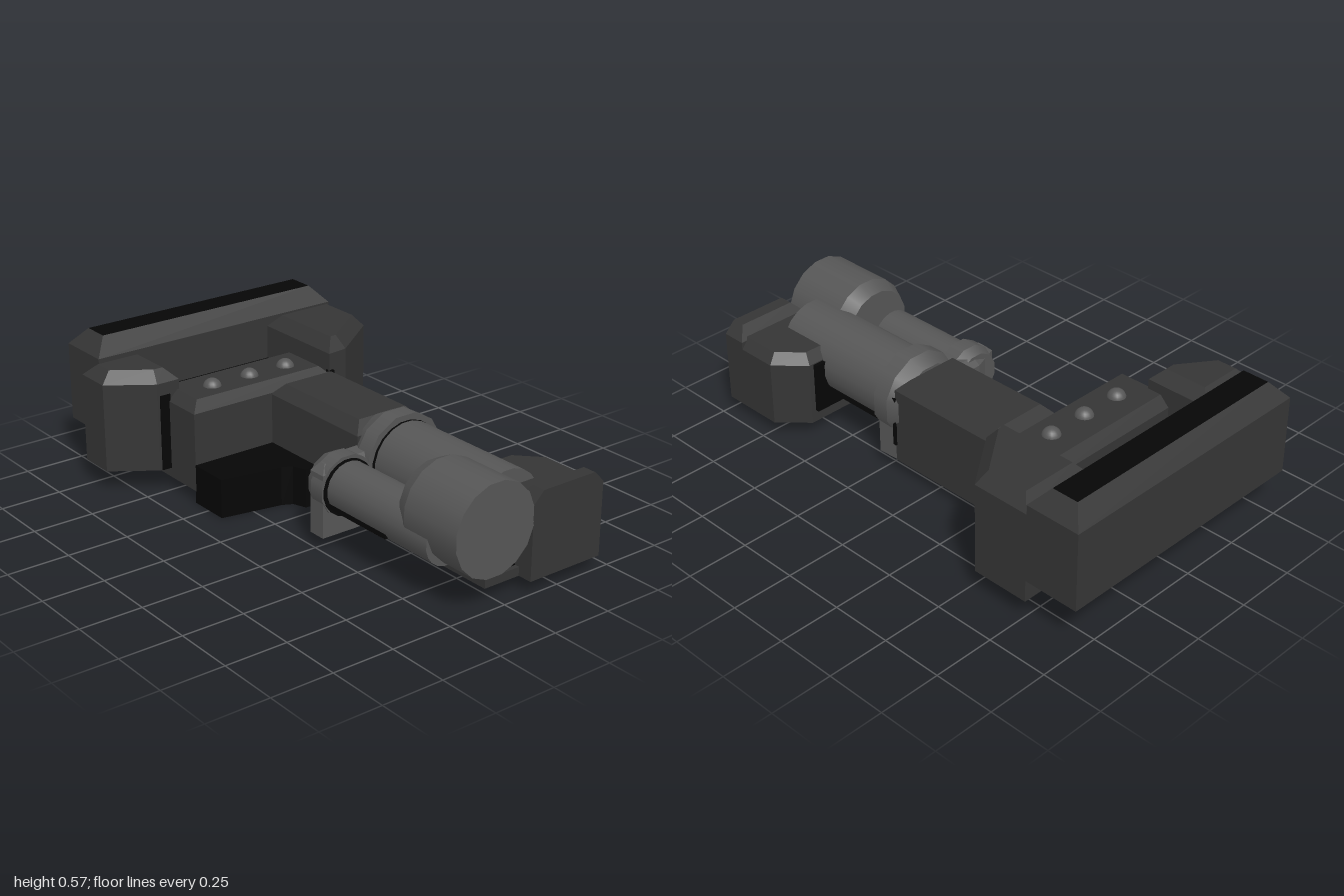
import * as THREE from 'three';

const named = (name, color) => {
  const m = new THREE.MeshStandardMaterial({ color });
  m.name = name;
  return m;
};

// Upright prism from a plan outline of [x, z] corners. Levels are [height, inset] rings.
function prism(plan, levels) {
  let base = plan.map(([x, z]) => new THREE.Vector2(x, -z));
  if (THREE.ShapeUtils.area(base) < 0) base = base.reverse();
  const n = base.length;
  const edgeNormal = (i) => {
    const a = base[i % n], b = base[(i + 1) % n];
    return new THREE.Vector2(a.y - b.y, b.x - a.x).normalize();
  };
  const rings = levels.map(([y, inset]) => base.map((p, i) => {
    const n1 = edgeNormal(i + n - 1), n2 = edgeNormal(i);
    const k = inset / (1 + n1.dot(n2));
    return [p.x + (n1.x + n2.x) * k, y, -(p.y + (n1.y + n2.y) * k)];
  }));
  const pos = [];
  const tri = (a, b, c) => pos.push(...a, ...b, ...c);
  for (let r = 0; r < rings.length - 1; r++) {
    for (let i = 0; i < n; i++) {
      const j = (i + 1) % n, lo = rings[r], hi = rings[r + 1];
      tri(lo[i], lo[j], hi[j]);
      tri(lo[i], hi[j], hi[i]);
    }
  }
  const faces = THREE.ShapeUtils.triangulateShape(base, []);
  const bottom = rings[0], top = rings[rings.length - 1];
  for (const [a, b, c] of faces) tri(bottom[a], bottom[c], bottom[b]);
  const sideCount = pos.length / 3;
  for (const [a, b, c] of faces) tri(top[a], top[b], top[c]);
  const g = new THREE.BufferGeometry();
  g.setAttribute('position', new THREE.Float32BufferAttribute(pos, 3));
  g.addGroup(0, sideCount, 0);
  g.addGroup(sideCount, pos.length / 3 - sideCount, 1);
  g.computeVertexNormals();
  return g;
}

const rect = (x0, x1, z0, z1) => [[x0, z0], [x1, z0], [x1, z1], [x0, z1]];

export function createModel() {
  const model = new THREE.Group();
  model.name = 'model';
  const dark = named('dark grey', 0x353535);
  const light = named('mid grey', 0x565656);
  const black = named('black', 0x060606);

  const add = (name, geometry, side, top = side) => {
    const mesh = new THREE.Mesh(geometry, side === top ? side : [side, top]);
    mesh.name = name;
    model.add(mesh);
    return mesh;
  };
  const block = (name, plan, y0, y1, bevel, rise, side, top) =>
    add(name, prism(plan, bevel ? [[y0, 0], [y1 - rise, 0], [y1, bevel]] : [[y0, 0], [y1, 0]]), side, top);

  // Wide rear slab with a black top panel
  block('rearSlab', rect(-0.53, 0.6, -1, -0.77), 0.18, 0.567, 0.06, 0.068, dark, black);

  // Angled side wings
  block('rightWing', [[-0.6, -0.78], [-0.6, -0.63], [-0.43, -0.51], [-0.33, -0.51], [-0.33, -0.78]],
    0.09, 0.495, 0.045, 0.045, dark);
  block('leftWing', [[0.28, -0.77], [0.6, -0.77], [0.6, -0.53], [0.37, -0.36], [0.28, -0.35]],
    0.09, 0.51, 0.045, 0.05, dark);

  // Black seams around the wings
  block('rightWingSeam', rect(-0.42, -0.375, -0.53, -0.505), 0.09, 0.4, 0, 0, black);
  block('leftWingSeam', rect(0.28, 0.3, -0.37, -0.342), 0.09, 0.39, 0, 0, black);
  block('wingRearSeam', rect(-0.575, -0.52, -0.785, -0.775), 0.12, 0.42, 0, 0, black);

  // Recessed core between the wings
  block('core', rect(-0.37, 0.34, -0.78, -0.5), 0.05, 0.32, 0, 0, black);

  // Centre housing and its domed buttons
  block('centreHousing', rect(-0.38, 0.285, -0.61, -0.335), 0.05, 0.41, 0.04, 0.04, dark);
  for (const x of [-0.21, -0.033, 0.142]) {
    const dome = add('button', new THREE.SphereGeometry(0.037, 16, 8, 0, Math.PI * 2, 0, Math.PI / 2), light);
    dome.position.set(x, 0.403, -0.46);
  }

  // Low black bracket beside the body
  block('bracket', [[-0.38, -0.34], [-0.38, -0.165], [-0.13, -0.12], [-0.09, -0.1], [-0.07, -0.045],
    [0, -0.04], [0, -0.34]], 0, 0.16, 0, 0, black);

  // Long body
  block('body', rect(-0.015, 0.29, -0.34, 0.2), 0.05, 0.41, 0.042, 0.045, dark);

  // Tubes lying along z, from z0 (back) to z1 (front)
  const tube = (name, x, y, r, z0, z1, chamfer = 0, sides = 20, material = light) => {
    const points = [[0, z0], [r - chamfer, z0]];
    if (chamfer) points.push([r, z0 + chamfer * 2]);
    points.push([r, z1], [0, z1]);
    // Separate segments keep the end faces crisp
    for (let i = 0; i < points.length - 1; i++) {
      const g = new THREE.LatheGeometry(
        [points[i], points[i + 1]].map((p) => new THREE.Vector2(...p)), sides, Math.PI / sides);
      g.rotateX(Math.PI / 2);
      g.translate(x, y, 0);
      add(name, g, material);
    }
  };
  tube('mainTube', 0.137, 0.27, 0.152, 0.2, 0.85);
  tube('sideTube', -0.135, 0.235, 0.1, 0.2, 0.85);
  tube('frontDrum', -0.055, 0.303, 0.181, 0.67, 1, 0.03, 16);

  // Clamp holding both tubes, with black inner collars
  tube('mainClampRing', 0.137, 0.27, 0.18, 0.165, 0.295, 0.03, 12);
  tube('sideClampRing', -0.135, 0.235, 0.122, 0.19, 0.295, 0.02, 12);
  tube('mainCollar', 0.137, 0.265, 0.158, 0.28, 0.303, 0, 20, black);
  tube('sideCollar', -0.135, 0.23, 0.112, 0.28, 0.303, 0, 20, black);
  block('clampBody', [[-0.245, 0.29], [-0.245, 0.215], [-0.13, 0.17], [0.285, 0.16], [0.292, 0.29]],
    0.05, 0.33, 0.03, 0.03, light);
  block('clampSeam', rect(0.28, 0.296, 0.195, 0.21), 0.12, 0.33, 0, 0, black);

  // Front grip with a raised ridge and a low inner foot
  block('grip', [[0.12, 1], [0.455, 1], [0.455, 0.73], [0.35, 0.62], [0.12, 0.62]],
    0.05, 0.355, 0.035, 0.04, dark);
  block('gripRidge', rect(0.12, 0.455, 0.9, 1), 0.3, 0.39, 0.045, 0.045, dark);
  const ridgeFace = new THREE.Shape([[0.12, 0.3], [0.455, 0.3], [0.455, 0.345], [0.41, 0.39],
    [0.165, 0.39], [0.12, 0.345]].map((p) => new THREE.Vector2(...p)));
  add('gripRidgeFront', new THREE.ExtrudeGeometry(ridgeFace, { depth: 0.055, bevelEnabled: false }), dark)
    .position.z = 0.945;
  block('gripFoot', [[-0.04, 0.94], [0.13, 0.94], [0.13, 0.64], [0.02, 0.64], [-0.04, 0.7]],
    0.05, 0.085, 0, 0, dark);
  block('gripCore', rect(0, 0.2, 0.66, 0.92), 0.08, 0.22, 0, 0, black);
  block('gripSeam', rect(0.14, 0.33, 0.605, 0.622), 0.1, 0.31, 0, 0, black);

  // Dark rails under and beside the tubes
  block('lowerRail', rect(-0.06, 0.1, 0.28, 0.68), 0.12, 0.22, 0, 0, black);
  block('sideRail', rect(-0.225, 0.27, 0.28, 0.62), 0.17, 0.19, 0, 0, black);

  return model;
}
